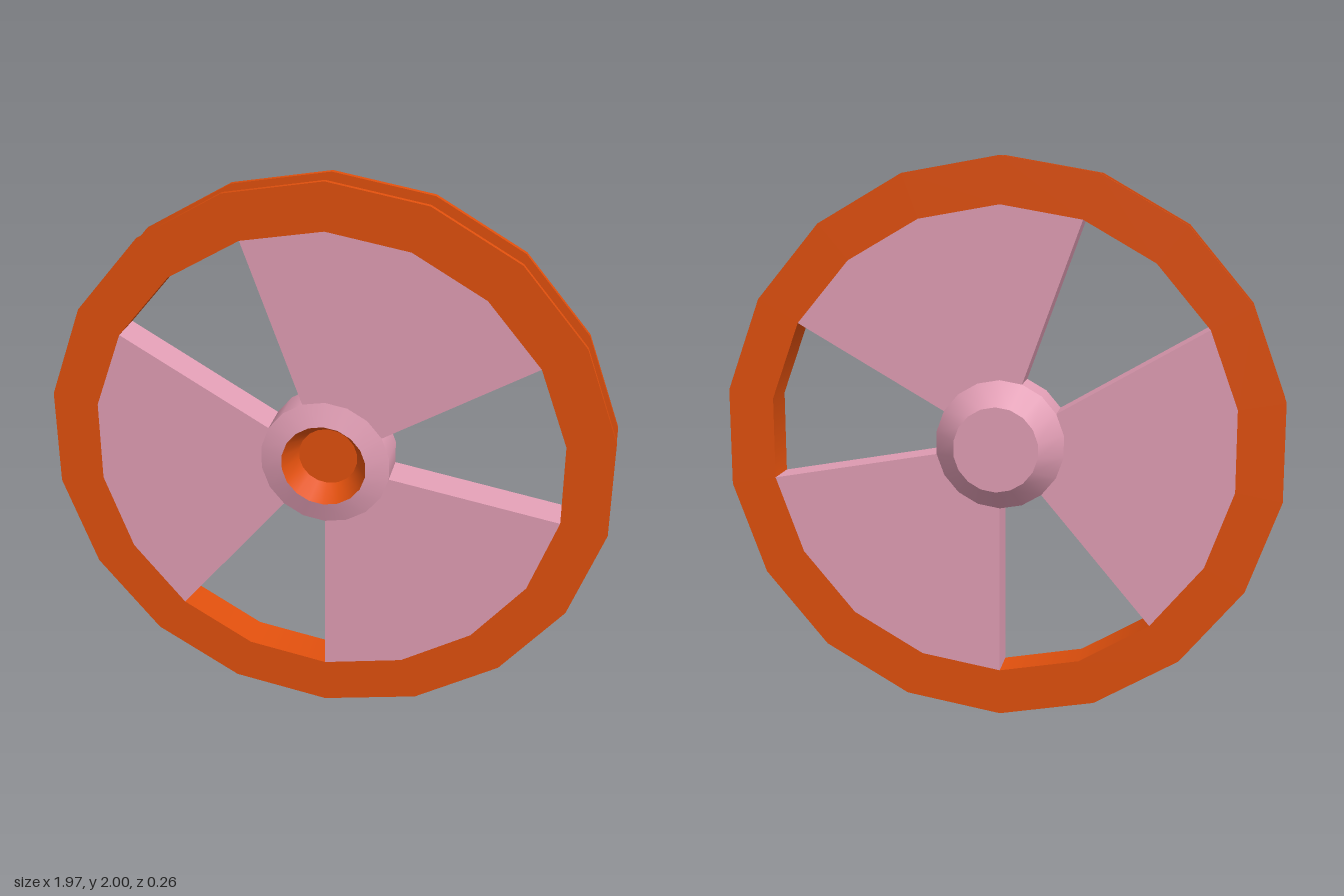
import * as THREE from 'three';
import { mergeGeometries } from 'three/addons/utils/BufferGeometryUtils.js';

const SIDES = 18;
const FRONT = 0.104, BACK = -0.033; // faces of the wheel disc
const RIM_INNER = 0.835;

// Turned surface around z from (radius, z) points; every profile edge stays sharp
function turned(profile) {
  const bands = [];
  for (let i = 0; i < profile.length - 1; i++) {
    const pair = [profile[i], profile[i + 1]].map(([r, z]) => new THREE.Vector2(r, z));
    bands.push(new THREE.LatheGeometry(pair, SIDES));
  }
  return mergeGeometries(bands).rotateX(Math.PI / 2);
}

// Wedge spoke covering 80 degrees in four straight steps
function wedge(startDeg) {
  const at = (r, deg) => {
    const a = THREE.MathUtils.degToRad(deg);
    return new THREE.Vector2(r * Math.cos(a), r * Math.sin(a));
  };
  const points = [];
  for (let i = 0; i <= 4; i++) points.push(at(RIM_INNER, startDeg + i * 20));
  for (let i = 4; i >= 0; i--) points.push(at(0.2, startDeg + i * 20));
  const geometry = new THREE.ExtrudeGeometry(new THREE.Shape(points), {
    depth: FRONT - BACK, bevelEnabled: false,
  });
  return geometry.translate(0, 0, BACK);
}

export function createModel() {
  const material = (name, color) => {
    const m = new THREE.MeshStandardMaterial({ color });
    m.name = name;
    return m;
  };
  const orange = material('orange', 0xe1500d);
  const pink = material('pink', 0xe29eb5);
  const blue = material('blue', 0x52a3d6);

  const wheel = new THREE.Group();
  wheel.name = 'wheel';
  const add = (name, geometry, mat) => {
    const mesh = new THREE.Mesh(geometry, mat);
    mesh.name = name;
    wheel.add(mesh);
  };

  // Rim with two flanges and a groove between them
  add('rim', turned([
    [0.965, 0.086], [1, 0.086], [1, FRONT], [RIM_INNER, FRONT],
    [RIM_INNER, BACK], [1, BACK], [1, -0.013], [0.965, -0.013],
  ]), orange);
  add('grooveBand', turned([[0.965, -0.013], [0.965, 0.086]]), blue);

  // Hub with a closed tapered back and a shallow front cone
  add('hub', turned([
    [0, -0.13], [0.15, -0.13], [0.23, BACK], [0.23, FRONT], [0.15, 0.13],
  ]), pink);
  add('hubRecess', turned([[0.15, 0.13], [0.105, 0.05], [0, 0.05]]), orange);

  // Three wedge spokes
  [30, 150, 270].forEach((deg, i) => add(`spoke${i + 1}`, wedge(deg), pink));

  wheel.position.y = 1;
  const model = new THREE.Group();
  model.name = 'wheelModel';
  model.add(wheel);
  return model;
}
